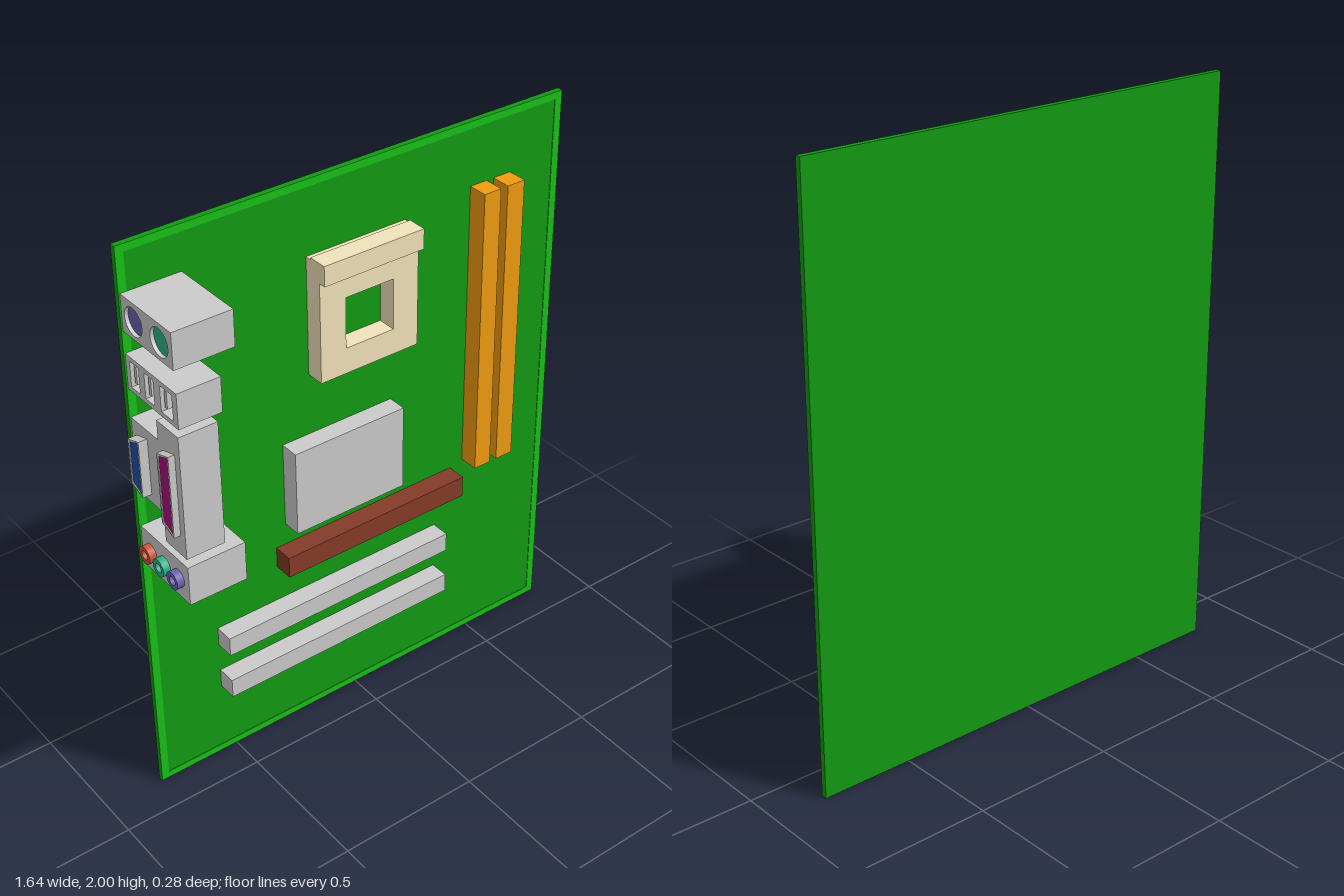
import * as THREE from 'three';

const mat = (color) => new THREE.MeshStandardMaterial({ color });
const grey = mat(0xcccccc), green = mat(0x129a12), rimGreen = mat(0x18c018), orange = mat(0xf09c10),
  brown = mat(0x843a28), cream = mat(0xf2e3ba), dark = mat(0x333333), blue = mat(0x1c50a8),
  magenta = mat(0xa8107c), violet = mat(0x6a62b0), teal = mat(0x2fae86), red = mat(0xc8553f);

const BACK = -0.14, FACE = -0.12, EDGE = -0.79; // board back, board front, connector face

function add(parent, name, geometry, material) {
  const mesh = new THREE.Mesh(geometry, material);
  mesh.name = name;
  parent.add(mesh);
  return mesh;
}

// Box given by its limits on each axis
function box(parent, name, material, [x0, x1], [y0, y1], [z0, z1]) {
  const mesh = add(parent, name, new THREE.BoxGeometry(x1 - x0, y1 - y0, z1 - z0), material);
  mesh.position.set((x0 + x1) / 2, (y0 + y1) / 2, (z0 + z1) / 2);
  return mesh;
}

function polygon(points, Type = THREE.Shape) {
  return new Type(points.map(([a, b]) => new THREE.Vector2(a, b)));
}
const rect = (a0, a1, b0, b1, Type) => polygon([[a0, b0], [a1, b0], [a1, b1], [a0, b1]], Type);
const disc = (a, b, r, Type = THREE.Shape) => new Type().absarc(a, b, r, 0, Math.PI * 2);

// Frame standing on the xy plane, with holes through z
function frame(parent, name, material, shape, z0, z1) {
  const geometry = new THREE.ExtrudeGeometry(shape, { depth: z1 - z0, bevelEnabled: false });
  add(parent, name, geometry, material).position.z = z0;
}

// Extrusion of a (z, y) outline from x = from outwards to x = to (towards -x)
function sideways(parent, name, material, shape, from, to) {
  const geometry = new THREE.ExtrudeGeometry(shape, { depth: from - to, bevelEnabled: false, curveSegments: 16 });
  const mesh = add(parent, name, geometry, material);
  mesh.rotation.y = -Math.PI / 2;
  mesh.position.x = from;
}

// Connector housing with sockets cut into its outer face
function housing(parent, name, inner, [y0, y1], [z0, z1], holes) {
  const group = new THREE.Group();
  group.name = name;
  parent.add(group);
  const lip = EDGE + 0.04;
  box(group, 'housingBody', grey, [lip, inner], [y0, y1], [z0, z1]);
  const shape = rect(z0, z1, y0, y1);
  shape.holes.push(...holes);
  sideways(group, 'housingFace', grey, shape, lip, EDGE);
  return group;
}

// D-shaped connector: open shell round a coloured insert
function dConnector(parent, name, material, y, half, z, width, out) {
  const outline = (inset, Type) => {
    const w = width / 2 - inset, h = half - inset;
    return polygon([[z - w, y - h + 0.02], [z + w, y - h], [z + w, y + h], [z - w, y + h - 0.02]], Type);
  };
  const shell = outline(0);
  shell.holes.push(outline(0.007, THREE.Path));
  sideways(parent, name + 'Shell', grey, shell, EDGE, out);
  sideways(parent, name + 'Insert', material, outline(0.007), EDGE, out + 0.003);
}

export function createModel() {
  const model = new THREE.Group();
  model.name = 'circuitBoard';

  // Board with a paler rim round the front
  box(model, 'board', green, [-0.795, 0.82], [0, 2], [BACK, FACE - 0.002]);
  const rim = rect(-0.795, 0.82, 0, 2);
  rim.holes.push(rect(-0.768, 0.793, 0.025, 1.975, THREE.Path));
  frame(model, 'boardRim', rimGreen, rim, FACE - 0.002, FACE);

  // Memory and expansion slots, main chip
  for (const x of [[0.46, 0.525], [0.553, 0.62]]) box(model, 'memorySlot', orange, x, [0.75, 1.78], [FACE - 0.002, -0.053]);
  box(model, 'graphicsSlot', brown, [-0.308, 0.408], [0.66, 0.737], [FACE - 0.002, -0.053]);
  for (const y of [0.455, 0.278]) box(model, 'expansionSlot', grey, [-0.545, 0.344], [y, y + 0.07], [FACE - 0.002, -0.055]);
  box(model, 'chip', grey, [-0.27, 0.152], [0.817, 1.122], [FACE - 0.002, -0.055]);

  // Processor socket: square frame and raised hinge bar
  const socket = rect(-0.165, 0.205, 1.34, 1.75);
  socket.holes.push(rect(-0.07, 0.11, 1.43, 1.607, THREE.Path));
  frame(model, 'processorSocket', cream, socket, FACE - 0.002, -0.057);
  box(model, 'socketBar', cream, [-0.165, 0.206], [1.688, 1.757], [-0.1, -0.032]);

  // Round keyboard and mouse ports
  const round = [[-0.06, violet], [0.07, teal]];
  const keyboard = housing(model, 'keyboardPorts', -0.59, [1.732, 1.852], [FACE, 0.135],
    round.map(([z]) => disc(z, 1.79, 0.045, THREE.Path)));
  for (const [z, m] of round) sideways(keyboard, 'roundSocket', m, disc(z, 1.79, 0.045), EDGE + 0.045, EDGE + 0.012);

  // Flat data ports with a tongue in each slot
  const slots = [[-0.1, -0.055], [-0.025, 0.02], [0.055, 0.115]];
  const data = housing(model, 'dataPorts', -0.645, [1.542, 1.66], [FACE, 0.14],
    slots.map(([a, b]) => rect(a, b, 1.558, 1.644, THREE.Path)));
  for (const [a, b] of slots) {
    box(data, 'slotBack', dark, [EDGE + 0.037, EDGE + 0.045], [1.558, 1.644], [a, b]);
    box(data, 'slotTongue', grey, [EDGE + 0.008, EDGE + 0.04], [1.572, 1.63], [a + 0.008, a + 0.02]);
  }

  // Video connector below the long printer connector
  const display = new THREE.Group();
  display.name = 'displayPorts';
  model.add(display);
  box(display, 'videoHousing', grey, [EDGE, -0.66], [1.188, 1.445], [FACE, 0.022]);
  box(display, 'printerHousing', grey, [EDGE, -0.658], [1.085, 1.512], [0.022, 0.133]);
  dConnector(display, 'video', blue, 1.317, 0.098, -0.068, 0.06, -0.82);
  dConnector(display, 'printer', magenta, 1.3, 0.142, 0.077, 0.062, -0.812);

  // Sound jacks: rings standing out of the housing
  const sound = new THREE.Group();
  sound.name = 'soundPorts';
  model.add(sound);
  box(sound, 'soundHousing', grey, [EDGE, -0.59], [0.917, 1.055], [FACE, 0.135]);
  [red, teal, violet].forEach((m, i) => {
    const z = -0.07 + i * 0.075;
    const ring = disc(z, 0.985, 0.03);
    ring.holes.push(disc(z, 0.985, 0.015, THREE.Path));
    sideways(sound, 'soundJack', m, ring, EDGE, -0.814);
    sideways(sound, 'jackHole', dark, disc(z, 0.985, 0.016), EDGE, EDGE - 0.002);
  });

  return model;
}
